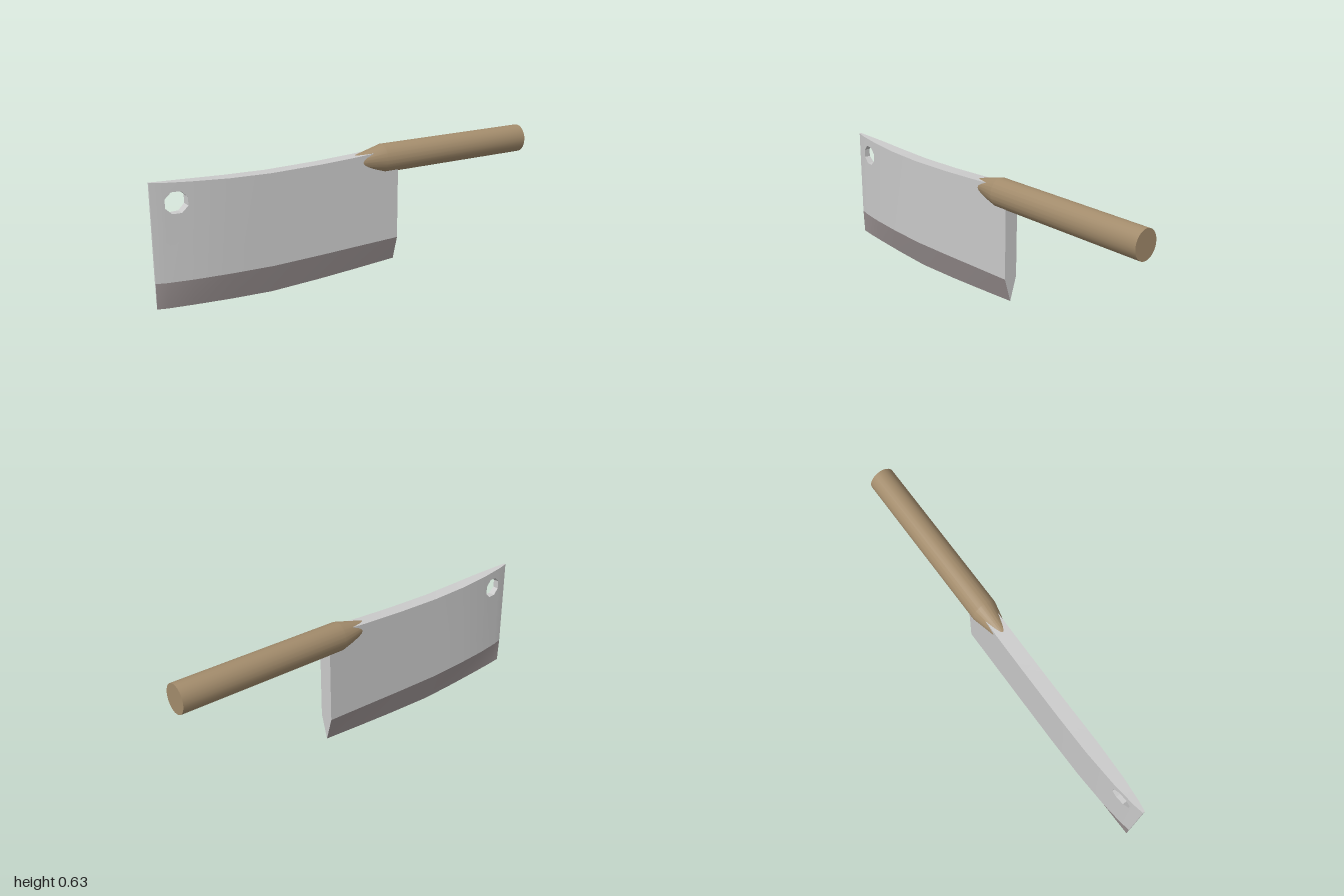
import * as THREE from 'three';
import { toCreasedNormals } from 'three/addons/utils/BufferGeometryUtils.js';

// Blade stations along x: [x, spine y, bevel y, edge y, half thickness]
const STATIONS = [
  [-1.00, 0.603, 0.155, 0.035, 0.005],
  [-0.95, 0.598, 0.152, 0.029, 0.014],
  [-0.83, 0.590, 0.148, 0.020, 0.026],
  [-0.65, 0.580, 0.143, 0.009, 0.034],
  [-0.45, 0.575, 0.138, 0.001, 0.035],
  [-0.20, 0.580, 0.143, 0.010, 0.035],
  [0.00, 0.589, 0.149, 0.021, 0.035],
  [0.225, 0.605, 0.155, 0.035, 0.035],
];
const HOLE = { x: -0.89, y: 0.505, rx: 0.054, ry: 0.052, strip: 1 };

// Half thickness of the blade at any x
function halfAt(x) {
  let i = 0;
  while (i < STATIONS.length - 2 && x > STATIONS[i + 1][0]) i++;
  const a = STATIONS[i], b = STATIONS[i + 1];
  return THREE.MathUtils.lerp(a[4], b[4], (x - a[0]) / (b[0] - a[0]));
}

function makeMesh(name, positions, color) {
  const geo = new THREE.BufferGeometry();
  geo.setAttribute('position', new THREE.Float32BufferAttribute(positions, 3));
  const mesh = new THREE.Mesh(toCreasedNormals(geo, 0.2), new THREE.MeshStandardMaterial({ color }));
  mesh.name = name;
  return mesh;
}

// Corners run counter-clockwise seen from outside
function quad(out, a, b, c, d) {
  out.push(...a, ...b, ...c, ...a, ...c, ...d);
}

function createBlade() {
  const body = [], bevel = [];
  const hole = [];
  for (let k = 0; k < 8; k++) {
    const t = ((k + 0.5) / 8) * Math.PI * 2;
    hole.push(new THREE.Vector2(HOLE.x + HOLE.rx * Math.cos(t), HOLE.y + HOLE.ry * Math.sin(t)));
  }

  for (let i = 0; i < STATIONS.length - 1; i++) {
    const [x0, s0, v0, e0, h0] = STATIONS[i];
    const [x1, s1, v1, e1, h1] = STATIONS[i + 1];

    // Flat cheeks, one of them pierced by the hanging hole
    const contour = [[x0, v0], [x1, v1], [x1, s1], [x0, s0]].map(p => new THREE.Vector2(...p));
    const holes = i === HOLE.strip ? [hole.slice().reverse()] : [];
    const points = contour.concat(...holes);
    for (const [a, b, c] of THREE.ShapeUtils.triangulateShape(contour, holes)) {
      for (const n of [a, b, c]) body.push(points[n].x, points[n].y, halfAt(points[n].x));
      for (const n of [a, c, b]) body.push(points[n].x, points[n].y, -halfAt(points[n].x));
    }

    // Spine
    quad(body, [x0, s0, h0], [x1, s1, h1], [x1, s1, -h1], [x0, s0, -h0]);

    // Ground bevel on both sides
    quad(bevel, [x0, e0, 0], [x1, e1, 0], [x1, v1, h1], [x0, v0, h0]);
    quad(bevel, [x1, e1, 0], [x0, e0, 0], [x0, v0, -h0], [x1, v1, -h1]);
  }

  // Wall of the hanging hole
  hole.forEach((p, k) => {
    const q = hole[(k + 1) % hole.length];
    const hp = halfAt(p.x), hq = halfAt(q.x);
    quad(body, [p.x, p.y, hp], [q.x, q.y, hq], [q.x, q.y, -hq], [p.x, p.y, -hp]);
  });

  // Toe and heel ends
  const [xt, st, vt, et, ht] = STATIONS[0];
  quad(body, [xt, vt, -ht], [xt, vt, ht], [xt, st, ht], [xt, st, -ht]);
  body.push(xt, et, 0, xt, vt, ht, xt, vt, -ht);
  const [xh, sh, vh, eh, hh] = STATIONS[STATIONS.length - 1];
  quad(body, [xh, vh, hh], [xh, vh, -hh], [xh, sh, -hh], [xh, sh, hh]);
  body.push(xh, eh, 0, xh, vh, -hh, xh, vh, hh);

  const blade = new THREE.Group();
  blade.name = 'blade';
  blade.add(makeMesh('bladeBody', body, 0xcccccc), makeMesh('cuttingBevel', bevel, 0x9c9393));
  return blade;
}

// Oval handle whose tapered front swallows the corner of the blade
function createHandle() {
  const profile = [[0, 0], [0.45, 0], [1, 0.15], [1, 1], [0, 1]].map(p => new THREE.Vector2(...p));
  const geo = new THREE.LatheGeometry(profile, 24);
  geo.rotateZ(-Math.PI / 2);
  geo.scale(1, 0.07, 0.063);
  geo.translate(0, 0.557, 0);
  const mesh = new THREE.Mesh(toCreasedNormals(geo, 0.32), new THREE.MeshStandardMaterial({ color: 0xa38c6c }));
  mesh.name = 'handle';
  return mesh;
}

export function createModel() {
  const model = new THREE.Group();
  model.name = 'cleaver';
  model.add(createBlade(), createHandle());
  return model;
}
